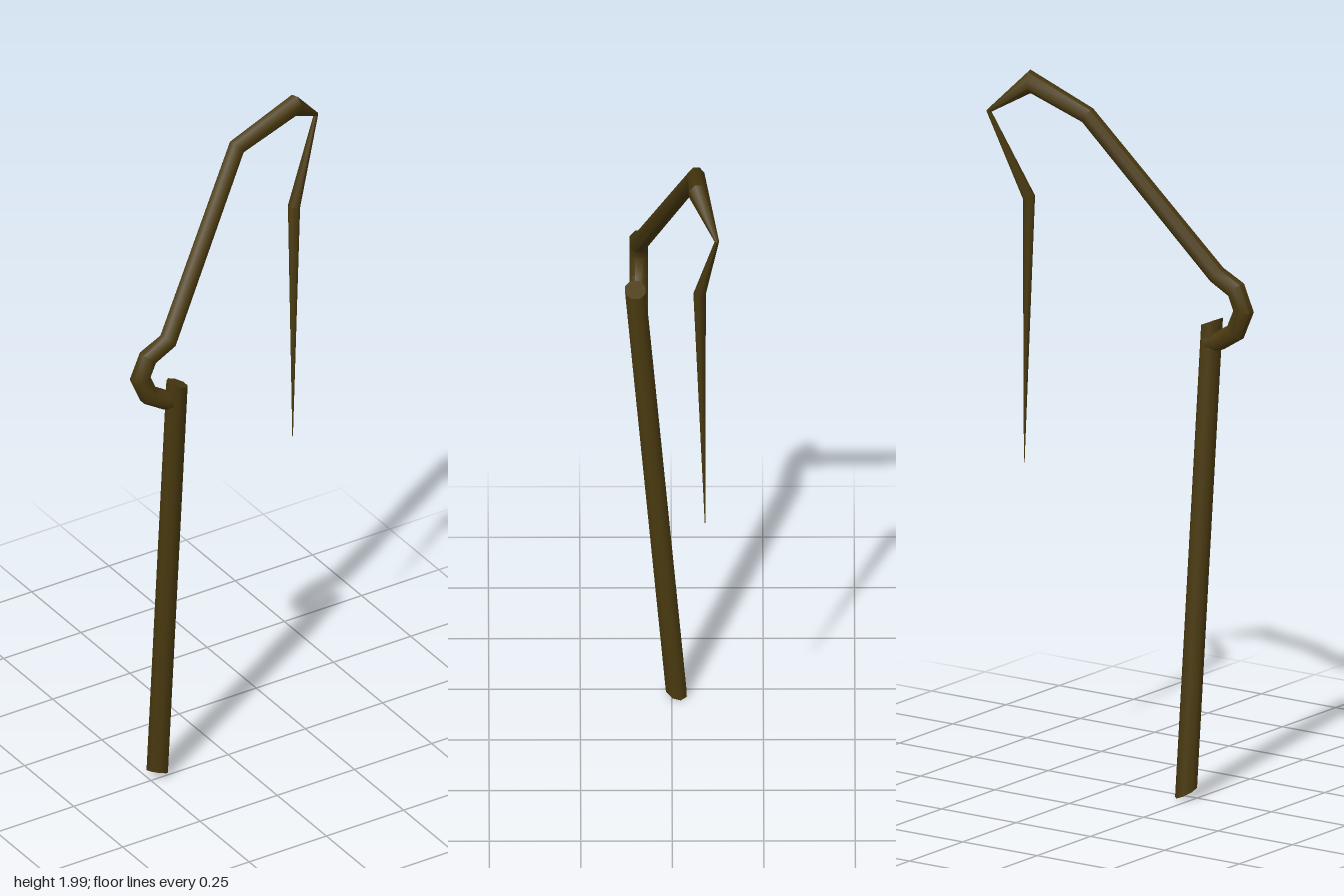
import * as THREE from 'three';
import { toCreasedNormals } from 'three/addons/utils/BufferGeometryUtils.js';

const SIDES = 8;

// Sweeps a round section along [x, y, z, radius] points with mitred joints.
// startCut and endCut optionally tilt the end faces.
function sweep(path, startCut, endCut) {
  const points = path.map(([x, y, z]) => new THREE.Vector3(x, y, z));
  const last = points.length - 1;
  const dirs = points.slice(1).map((p, i) => p.clone().sub(points[i]).normalize());
  const u = new THREE.Vector3(0, 0, 1).cross(dirs[0]).normalize();
  const positions = [];
  const index = [];

  points.forEach((p, i) => {
    const d = dirs[Math.max(i - 1, 0)];
    const next = dirs[Math.min(i, last - 1)];
    const v = d.clone().cross(u);
    let normal = d.clone().add(next).normalize();
    if (i === 0 && startCut) normal = startCut;
    if (i === last && endCut) normal = endCut;
    for (let j = 0; j < SIDES; j++) {
      const a = ((j + 0.5) / SIDES) * Math.PI * 2;
      const w = u.clone().multiplyScalar(Math.cos(a)).addScaledVector(v, Math.sin(a));
      w.multiplyScalar(path[i][3]);
      w.addScaledVector(d, -w.dot(normal) / d.dot(normal));
      positions.push(...w.add(p).toArray());
      if (i < last) {
        const k = (j + 1) % SIDES;
        const [a0, b0] = [i * SIDES + j, i * SIDES + k];
        index.push(a0, b0, a0 + SIDES, b0, b0 + SIDES, a0 + SIDES);
      }
    }
    u.applyQuaternion(new THREE.Quaternion().setFromUnitVectors(d, next));
  });

  // end caps
  for (let j = 1; j < SIDES - 1; j++) {
    const e = last * SIDES;
    index.push(0, j + 1, j, e, e + j, e + j + 1);
  }
  const geometry = new THREE.BufferGeometry();
  geometry.setAttribute('position', new THREE.Float32BufferAttribute(positions, 3));
  geometry.setIndex(index);
  return toCreasedNormals(geometry, 0.9);
}

export function createModel() {
  const model = new THREE.Group();
  model.name = 'bentRodWithStrand';
  const wood = new THREE.MeshStandardMaterial({ color: 0x4a3a10 });
  wood.name = 'darkWood';

  const add = (name, geometry) => {
    const mesh = new THREE.Mesh(geometry, wood);
    mesh.name = name;
    model.add(mesh);
  };

  // straight, slightly leaning handle with slanted ends
  add('handle', sweep(
    [[-0.222, 0.016, -0.012, 0.03], [-0.229, 1.325, 0.1, 0.03]],
    new THREE.Vector3(0.38, 1, -0.3).normalize(),
    new THREE.Vector3(0.42, 1, 0).normalize(),
  ));

  // hook at the handle, rising arm, and the thin hanging strand
  add('hookArmAndStrand', sweep([
    [-0.225, 1.268, 0.09, 0.027],
    [-0.262, 1.277, 0.09, 0.027],
    [-0.315, 1.31, 0.09, 0.027],
    [-0.342, 1.372, 0.09, 0.027],
    [-0.317, 1.43, 0.09, 0.027],
    [-0.252, 1.463, 0.09, 0.026],
    [0.07, 1.897, -0.066, 0.024],
    [0.258, 1.965, -0.072, 0.028],
    [0.362, 1.876, -0.122, 0.006],
    [0.261, 1.638, -0.075, 0.017],
    [0.266, 0.89, -0.09, 0.001],
  ]));

  return model;
}
